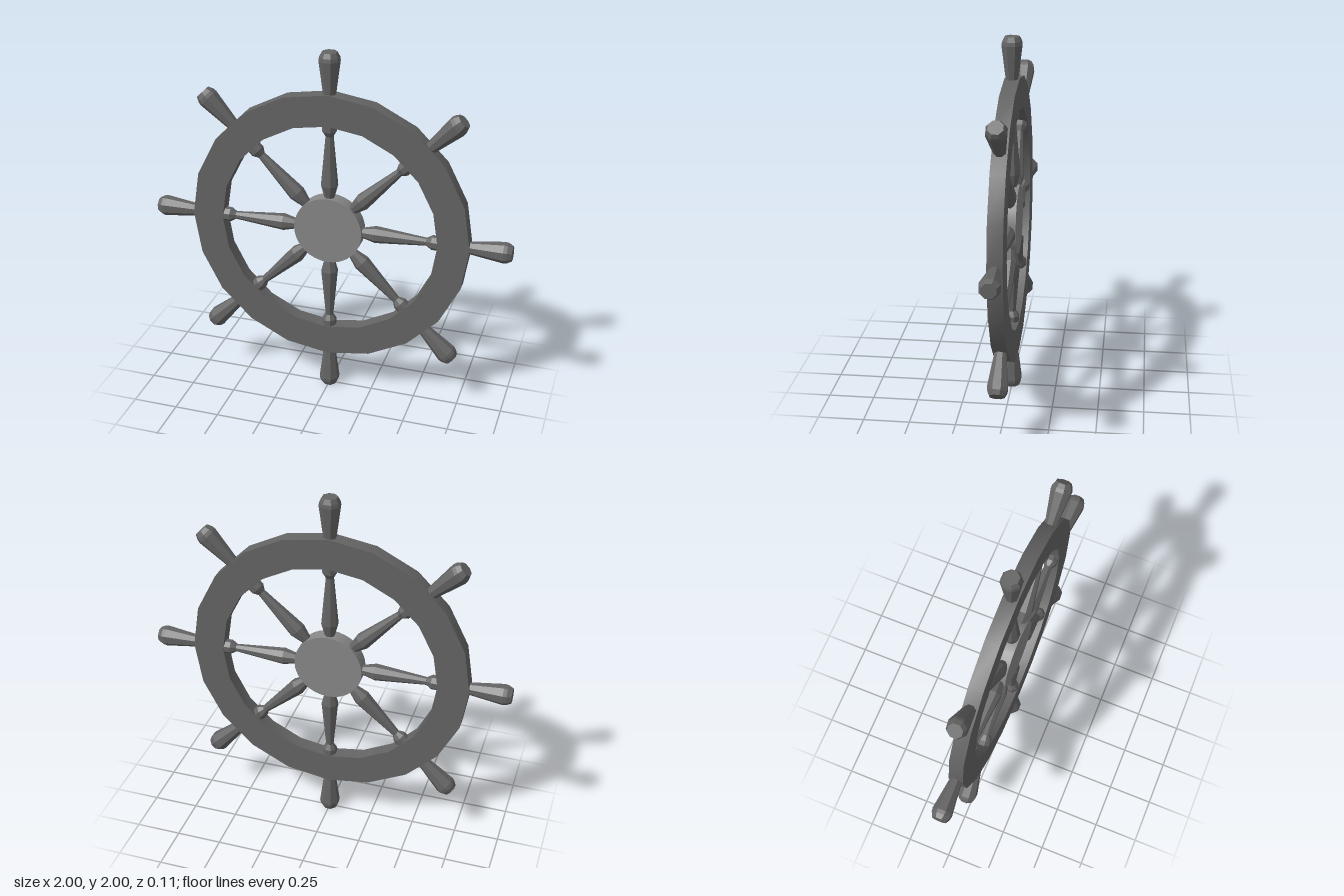
import * as THREE from 'three';
import { toCreasedNormals } from 'three/addons/utils/BufferGeometryUtils.js';

const CENTRE_Y = 1;
const RIM_SIDES = 20;
const SPOKES = 8;

// Regular polygon corners, the first one straight up
function ring(radius, sides) {
  return Array.from({ length: sides }, (_, i) => {
    const a = (i / sides) * Math.PI * 2 + Math.PI / 2;
    return new THREE.Vector2(Math.cos(a) * radius, Math.sin(a) * radius);
  });
}

export function createModel() {
  const model = new THREE.Group();
  model.name = 'shipsWheel';
  const rimMaterial = new THREE.MeshStandardMaterial({ color: 0x646464 });
  const spokeMaterial = new THREE.MeshStandardMaterial({ color: 0x646464, flatShading: true });
  const hubMaterial = new THREE.MeshStandardMaterial({ color: 0x878787 });

  const wheel = new THREE.Group();
  wheel.name = 'wheel';
  wheel.position.y = CENTRE_Y;
  model.add(wheel);

  // Flat-faced rim with softly shaded sides
  const rimShape = new THREE.Shape(ring(0.779, RIM_SIDES));
  rimShape.holes.push(new THREE.Path(ring(0.607, RIM_SIDES).reverse()));
  const rimGeometry = new THREE.ExtrudeGeometry(rimShape, { depth: 0.08, bevelEnabled: false });
  rimGeometry.translate(0, 0, -0.04);
  const rim = new THREE.Mesh(toCreasedNormals(rimGeometry, Math.PI / 6), rimMaterial);
  rim.name = 'rim';
  wheel.add(rim);

  // Round hub disc
  const hubGeometry = new THREE.CylinderGeometry(0.19, 0.19, 0.08, 32);
  hubGeometry.rotateX(Math.PI / 2);
  const hub = new THREE.Mesh(hubGeometry, hubMaterial);
  hub.name = 'hub';
  wheel.add(hub);

  // Turned eight-sided spoke and handle: [half width, distance from the centre]
  const profile = [
    [0, 0.14], [0.018, 0.14], [0.024, 0.18], [0.043, 0.26],
    [0.02, 0.54], [0.037, 0.57], [0.037, 0.62], [0.03, 0.68],
    [0.03, 0.76], [0.053, 0.955], [0.05, 0.975], [0.038, 1], [0, 1],
  ].map(([w, r]) => new THREE.Vector2(w / Math.cos(Math.PI / 8), r));
  const spokeGeometry = new THREE.LatheGeometry(profile, 8, Math.PI / 8);

  for (let i = 0; i < SPOKES; i++) {
    const spoke = new THREE.Mesh(spokeGeometry, spokeMaterial);
    spoke.name = `spokeAndHandle${i + 1}`;
    spoke.rotation.z = (i / SPOKES) * Math.PI * 2;
    wheel.add(spoke);
  }

  return model;
}
